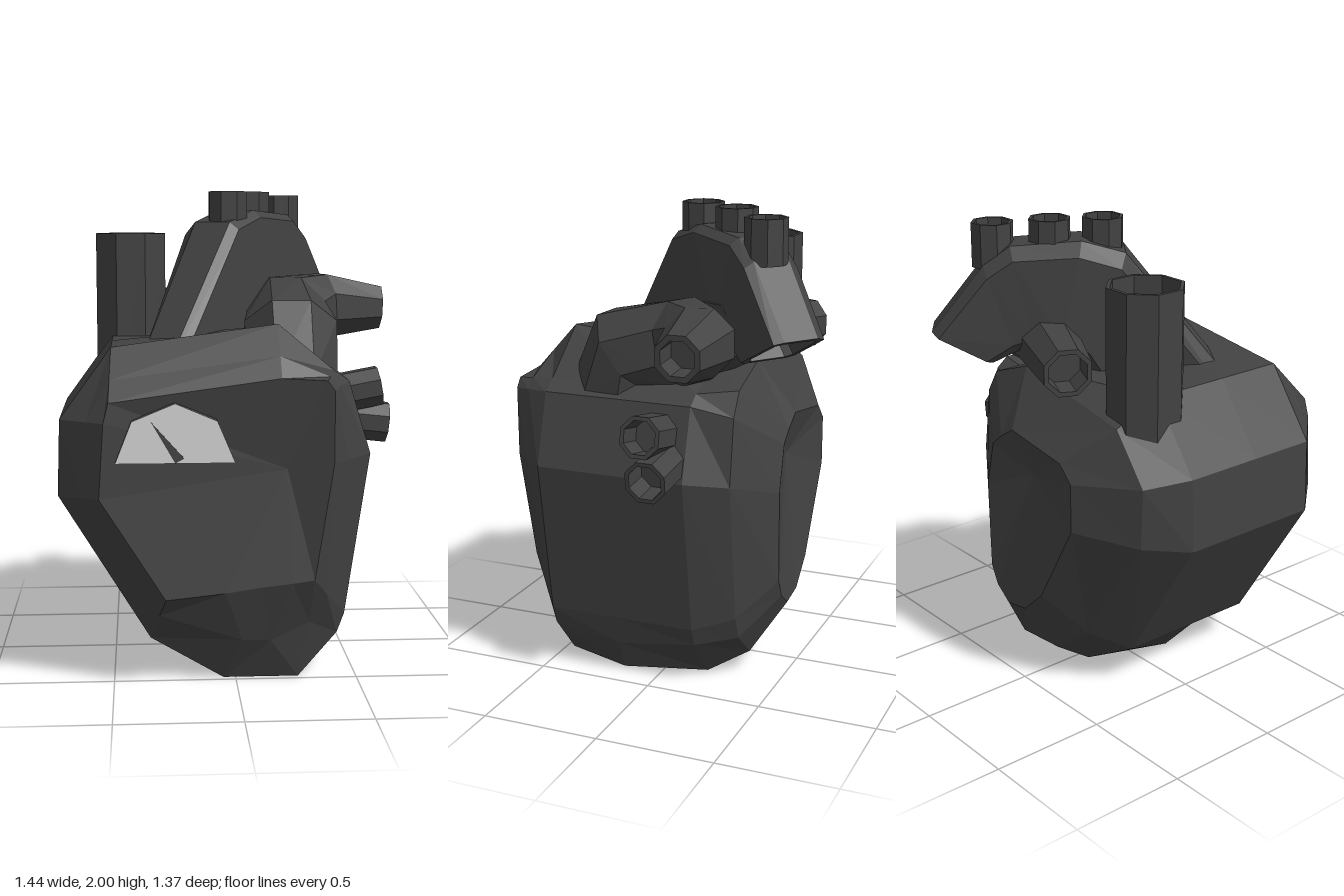
import * as THREE from 'three';

const V = (x, y, z) => new THREE.Vector3(x, y, z);

// Faceted skin through equal-length rings of points, closed at both ends.
function loft(rings, startPoint, endPoint) {
  const pos = [];
  const tri = (a, b, c) => { for (const p of [a, b, c]) pos.push(p.x, p.y, p.z); };
  const n = rings[0].length;
  const middle = (r) => r.reduce((s, p) => s.add(p), V(0, 0, 0)).divideScalar(n);
  for (let i = 0; i < rings.length - 1; i++) {
    for (let j = 0; j < n; j++) {
      const k = (j + 1) % n, a = rings[i], b = rings[i + 1];
      tri(a[j], b[j], b[k]);
      tri(a[j], b[k], a[k]);
    }
  }
  const first = rings[0], last = rings[rings.length - 1];
  const c0 = startPoint || middle(first), c1 = endPoint || middle(last);
  for (let j = 0; j < n; j++) {
    const k = (j + 1) % n;
    tri(c0, first[j], first[k]);
    tri(c1, last[k], last[j]);
  }
  // Turn the skin outward if its enclosed volume is negative.
  let volume = 0;
  const at = (i) => V(pos[i], pos[i + 1], pos[i + 2]);
  for (let i = 0; i < pos.length; i += 9) volume += at(i).dot(at(i + 3).cross(at(i + 6)));
  if (volume < 0) {
    for (let i = 0; i < pos.length; i += 9) {
      for (let c = 0; c < 3; c++) [pos[i + 3 + c], pos[i + 6 + c]] = [pos[i + 6 + c], pos[i + 3 + c]];
    }
  }
  const g = new THREE.BufferGeometry();
  g.setAttribute('position', new THREE.Float32BufferAttribute(pos, 3));
  g.computeVertexNormals();
  return g;
}

// Shrinks a ring toward its middle, then moves it.
function shrink(ring, k, move = V(0, 0, 0)) {
  const c = ring.reduce((s, p) => s.add(p), V(0, 0, 0)).divideScalar(ring.length);
  return ring.map((p) => p.clone().sub(c).multiplyScalar(k).add(c).add(move));
}

// Octagonal vessel along stations [x, y, z, radius], hollow at the far end.
function vessel(stations, wall = 0.85, depth = 0.12) {
  const c = stations.map((s) => V(s[0], s[1], s[2]));
  const rings = stations.map((s, i) => {
    const t = c[Math.min(i + 1, c.length - 1)].clone().sub(c[Math.max(i - 1, 0)]).normalize();
    const ref = Math.abs(t.y) > 0.95 ? V(1, 0, 0) : V(0, 1, 0);
    const u = ref.clone().cross(t).normalize(), v = t.clone().cross(u);
    return Array.from({ length: 8 }, (_, j) => {
      const a = (j + 0.5) * Math.PI / 4;
      return c[i].clone().addScaledVector(u, s[3] * Math.cos(a)).addScaledVector(v, s[3] * Math.sin(a));
    });
  });
  const end = rings[rings.length - 1];
  const back = c[c.length - 2].clone().sub(c[c.length - 1]).setLength(depth);
  rings.push(shrink(end, wall), shrink(end, wall, back));
  return loft(rings);
}

export function createModel() {
  const group = new THREE.Group();
  const dark = new THREE.MeshStandardMaterial({ color: 0x424242 });
  dark.name = 'charcoal';
  const pale = new THREE.MeshStandardMaterial({ color: 0xd5d5d5 });
  pale.name = 'pale grey';
  const add = (name, geometry, material = dark) => {
    const m = new THREE.Mesh(geometry, material);
    m.name = name;
    group.add(m);
  };

  // Heart body: rings from the front panel to the back.
  const outline = [[-0.71, 1.09], [-0.5, 1.38], [0.17, 1.47], [0.4, 1.28], [0.46, 1.24], [0.55, 0.94],
    [0.45, 0.27], [0.42, 0.14], [0.36, 0.005], [-0.18, 0.005], [-0.35, 0.18], [-0.72, 0.78]];
  const front = [[-0.53, 1.1, 0.67], [-0.51, 1.18, 0.665], [0.17, 1.27, 0.65], [0.35, 1.26, 0.65],
    [0.38, 1.22, 0.65], [0.38, 0.93, 0.65], [0.31, 0.45, 0.62], [0.22, 0.44, 0.63],
    [0.1, 0.43, 0.64], [-0.05, 0.41, 0.65], [-0.29, 0.39, 0.67], [-0.55, 0.8, 0.67]];
  const rear = [[-0.61, 1.06], [-0.45, 1.27], [0.14, 1.38], [0.36, 1.3], [0.42, 1.2], [0.46, 0.92],
    [0.38, 0.32], [0.34, 0.22], [0.2, 0.1], [-0.05, 0.12], [-0.26, 0.28], [-0.6, 0.8]];
  const back = [[-0.33, 1.03], [-0.26, 1.1], [0.06, 1.15], [0.14, 1.1], [0.2, 1.05], [0.25, 0.85],
    [0.24, 0.46], [0.2, 0.38], [0.12, 0.32], [0.0, 0.34], [-0.12, 0.45], [-0.33, 0.82]];
  const atZ = (pts, z) => pts.map((p) => V(p[0], p[1], p[2] ?? z));
  // The underside narrows toward the front and back.
  const narrowed = (z, ridge) => {
    const ring = atZ(outline, z);
    ring[2].y = ridge;
    ring[7].y = 0.19;
    ring[8].x = 0.26;
    ring[9].x = -0.05;
    return ring;
  };
  const frontRing = atZ(front), frontRim = narrowed(0.47, 1.47);
  // A fold tucks in below the front panel.
  const fold = frontRing.map((p, i) => p.clone().lerp(frontRim[i], 0.4));
  fold[7].set(0.3, 0.25, 0.52);
  fold[8].set(0.14, 0.18, 0.54);
  fold[9].set(0.02, 0.19, 0.56);
  const waist = atZ(outline, 0.17);
  waist[2].y = 1.44;
  add('heartBody', loft([frontRing, fold, frontRim, waist, narrowed(-0.18, 1.38),
    atZ(rear, -0.35), atZ(back, -0.49)], V(0.2, 0.9, 0.59), V(0, 0.95, -0.43)));

  // Aortic arch: flat-sided sections between an outer and an inner curve in a slanted plane.
  const outer = [[-0.8, 1.2], [-0.27, 1.87], [-0.09, 1.92], [0.2, 1.9], [0.31, 1.82], [0.53, 1.54]];
  const inner = [[-0.2, 1.22], [-0.1, 1.42], [0, 1.47], [0.1, 1.48], [0.18, 1.46], [0.28, 1.41]];
  const backWidth = [0.1, 0.165, 0.165, 0.15, 0.14, 0.13];
  const section = [[-1, 0.1], [-1, 0.88], [-0.6, 1], [0.6, 1], [0.9, 0.93], [1, 0.1], [0.75, 0], [-0.75, 0]];
  const archRings = outer.map((o, i) => section.map(([u, v]) => {
    const s = THREE.MathUtils.lerp(inner[i][0], o[0], v);
    const y = THREE.MathUtils.lerp(inner[i][1], o[1], v);
    const w = u * (u < 0 ? backWidth[i] : 0.13);
    return V(0.1 + 0.6 * s + 0.8 * w, y, -0.2 - 0.8 * s + 0.6 * w);
  }));
  const archEnd = archRings[archRings.length - 1];
  archRings.push(shrink(archEnd, 0.82), shrink(archEnd, 0.75, V(-0.05, 0.1, 0.07)));
  add('aorticArch', loft(archRings));

  // Three open branches on top of the arch.
  [[0, -0.05, 2.0], [0.11, -0.24, 2.0], [0.26, -0.42, 1.985]].forEach(([x, z, top], i) =>
    add('archBranch' + (i + 1), vessel([[x, 1.8, z, 0.088], [x, top, z, 0.088]])));

  // Large upright vein on the right side.
  add('venaCava', vessel([[-0.42, 1.1, -0.18, 0.162], [-0.42, 1.82, -0.18, 0.162]], 0.9, 0.5));

  // Pulmonary trunk with its left and right branches.
  add('pulmonaryTrunk', vessel([[0.25, 1.2, 0.24, 0.2], [0.25, 1.4, 0.17, 0.21], [0.27, 1.46, -0.09, 0.19],
    [0.44, 1.5, -0.21, 0.15], [0.69, 1.49, -0.22, 0.1]], 0.75));
  add('rightPulmonaryBranch', vessel([[0.28, 1.49, -0.19, 0.15], [-0.26, 1.47, -0.44, 0.105]], 0.8));

  // Paired veins on the left side.
  add('upperVein', vessel([[0.38, 1.1, -0.05, 0.09], [0.67, 1.155, -0.05, 0.09]], 0.8));
  add('lowerVein', vessel([[0.38, 1.02, -0.09, 0.092], [0.71, 0.985, -0.09, 0.092]], 0.8));

  // Dial on the front with its needle.
  const plate = (pts, depth, z) => {
    const shape = new THREE.Shape(pts.map(([x, y]) => new THREE.Vector2(x, y)));
    return new THREE.ExtrudeGeometry(shape, { depth, bevelEnabled: false }).translate(0, 0, z);
  };
  const dial = [[-0.485, 0.945], [-0.015, 0.945], [-0.085, 1.11], [-0.25, 1.18], [-0.42, 1.11]];
  add('dialBase', plate(dial, 0.085, 0.6));
  add('dialFace', plate(dial, 0.005, 0.685), pale);
  add('needle', plate([[-0.345, 1.11], [-0.25, 0.946], [-0.215, 0.965]], 0.003, 0.69));
  return group;
}
